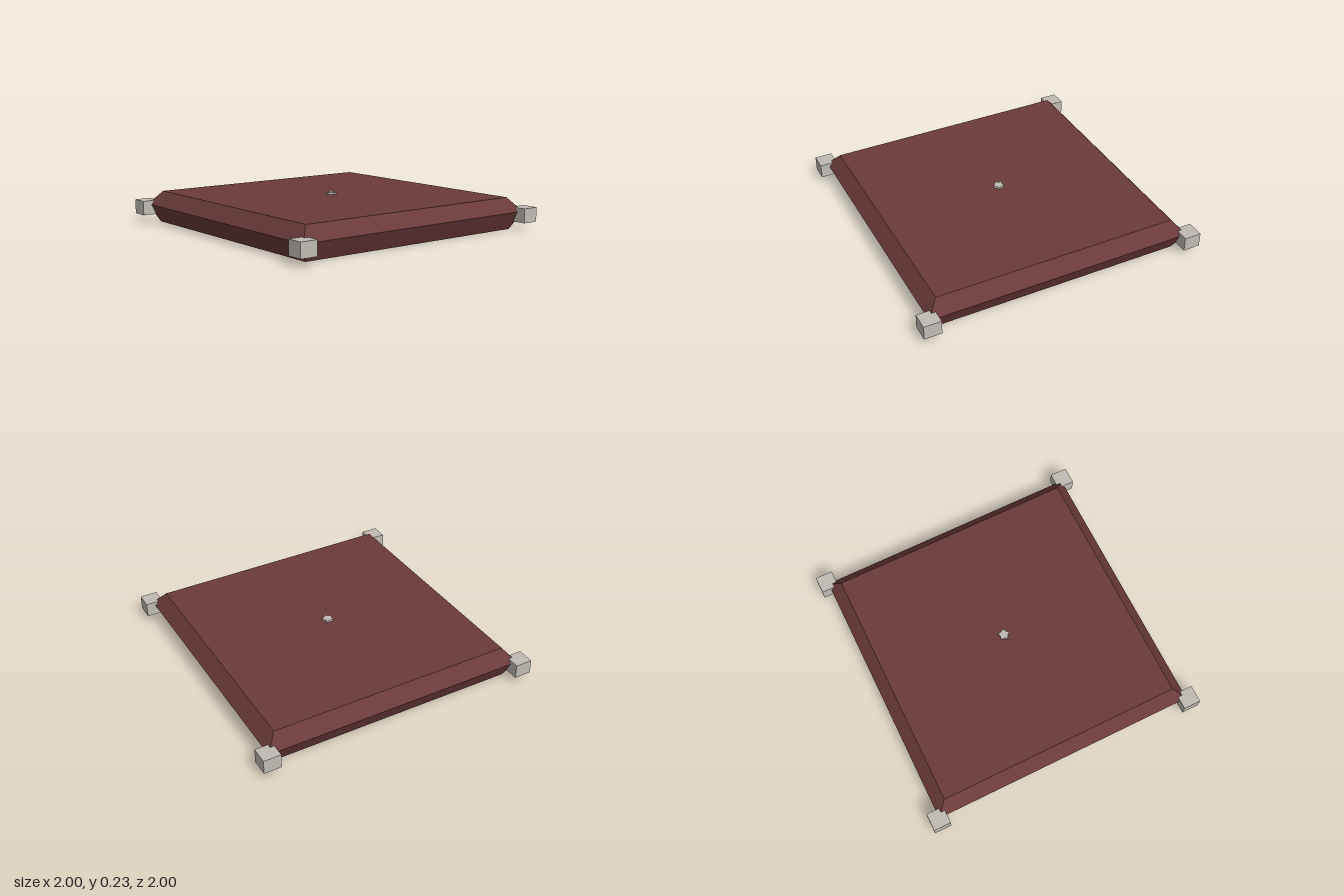
import * as THREE from 'three';

export function createModel() {
  const model = new THREE.Group();
  model.name = 'cushion';

  const fabric = new THREE.MeshStandardMaterial({ color: 0x6b3a3a, flatShading: true });
  fabric.name = 'maroon fabric';
  const trim = new THREE.MeshStandardMaterial({ color: 0xbfbbb4, flatShading: true });
  trim.name = 'pale grey trim';

  const add = (name, geometry, material, x, y, z) => {
    const mesh = new THREE.Mesh(geometry, material);
    mesh.name = name;
    mesh.position.set(x, y, z);
    model.add(mesh);
    return mesh;
  };

  // Square pillow: half-width and height of each level, turned in four sides
  const profile = [[0, 0], [0.87, 0], [0.935, 0.125], [0.855, 0.22], [0, 0.22]]
    .map(([half, y]) => new THREE.Vector2(half * Math.SQRT2, y));
  const pillow = new THREE.LatheGeometry(profile, 4).rotateY(Math.PI / 4);
  add('pillow', pillow, fabric, 0, 0, 0);

  // Blocky tassel on each corner
  for (const x of [-1, 1]) {
    for (const z of [-1, 1]) {
      const side = `${z > 0 ? 'front' : 'back'}${x > 0 ? 'Left' : 'Right'}Tassel`;
      add(side, new THREE.BoxGeometry(0.12, 0.1, 0.12), trim, x * 0.94, 0.105, z * 0.94);
    }
  }

  // Small star-shaped button in the middle of the top
  const points = [];
  for (let i = 0; i < 10; i++) {
    const a = (i * Math.PI) / 5;
    const r = i % 2 ? 0.028 : 0.04;
    points.push(new THREE.Vector2(Math.cos(a) * r, Math.sin(a) * r));
  }
  const star = new THREE.ExtrudeGeometry(new THREE.Shape(points), { depth: 0.02, bevelEnabled: false });
  add('button', star.rotateX(-Math.PI / 2), trim, 0, 0.215, 0);

  return model;
}
